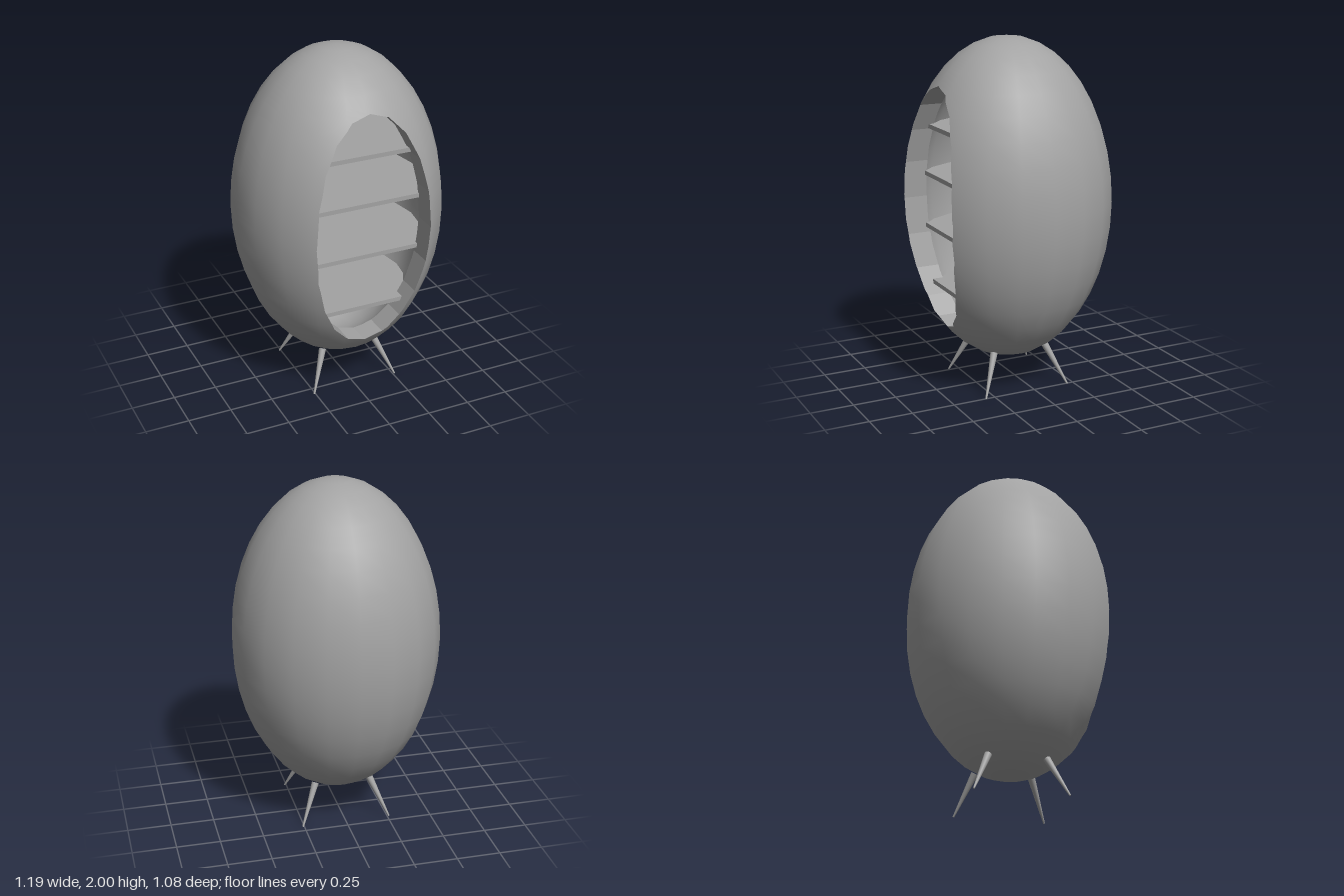
import * as THREE from 'three';

const CY = 1.08, CZ = 0.05, SEG = 20;           // egg centre and facet count
const OUTER = { r: 0.595, h: 0.92 }, INNER = { r: 0.495, h: 0.82 };
const HOLE = { x: 0.34, y: 0.6875, cy: -0.0225 }; // oval opening, relative to egg centre

// Corners of the oval opening, counter-clockwise
const rim = Array.from({ length: SEG }, (_, i) => {
  const a = (i / SEG) * Math.PI * 2;
  return new THREE.Vector2(HOLE.x * Math.cos(a), HOLE.cy + HOLE.y * Math.sin(a));
});

// Signed distance from rim edge k, positive towards the opening
function rimSide(p, k) {
  const a = rim[k], b = rim[(k + 1) % SEG];
  const dx = b.x - a.x, dy = b.y - a.y;
  return (dx * (p.y - a.y) - dy * (p.x - a.x)) / Math.hypot(dx, dy);
}

// Part of a polygon on one side of a rim edge
function clip(poly, k, sign) {
  const out = [];
  poly.forEach((p, i) => {
    const q = poly[(i + 1) % poly.length];
    const dp = sign * rimSide(p, k), dq = sign * rimSide(q, k);
    if (dp >= 0) out.push(p);
    if ((dp > 0 && dq < 0) || (dp < 0 && dq > 0)) out.push(p.clone().lerp(q, dp / (dp - dq)));
  });
  return out.length > 2 ? out : [];
}

// Faceted ellipsoid cut by the opening; returns kept polygons and the cut edges
function cutEgg({ r, h }) {
  const geo = new THREE.SphereGeometry(1, SEG, SEG).scale(r, h, r).toNonIndexed();
  const pos = geo.attributes.position, kept = [], edges = [];
  for (let i = 0; i < pos.count; i += 3) {
    let poly = [0, 1, 2].map(j => new THREE.Vector3().fromBufferAttribute(pos, i + j));
    if (poly[0].z + poly[1].z + poly[2].z <= 0) { kept.push(poly); continue; }
    const pieces = [], whole = poly;
    for (let k = 0; k < SEG && poly.length; k++) {
      const outside = clip(poly, k, -1);
      if (outside.length) pieces.push(outside);
      poly = clip(poly, k, 1);
    }
    if (!poly.length) { kept.push(whole); continue; }
    kept.push(...pieces);
    poly.forEach((a, n) => {
      const b = poly[(n + 1) % poly.length];
      const onRim = rim.some((_, k) => Math.abs(rimSide(a, k)) < 1e-6 && Math.abs(rimSide(b, k)) < 1e-6);
      if (onRim && a.distanceTo(b) > 1e-6) edges.push([a, b]);
    });
  }
  return { kept, edges };
}

// Triangle fans from polygons; smooth ellipsoid normals when a size is given
function polysToGeometry(polys, size, flip) {
  const pts = [], normals = [];
  for (const p of polys) {
    for (let i = 1; i < p.length - 1; i++) {
      const tri = flip ? [p[0], p[i + 1], p[i]] : [p[0], p[i], p[i + 1]];
      for (const v of tri) {
        pts.push(v.x, v.y, v.z);
        if (!size) continue;
        const n = new THREE.Vector3(v.x / size.r ** 2, v.y / size.h ** 2, v.z / size.r ** 2).normalize();
        if (flip) n.negate();
        normals.push(n.x, n.y, n.z);
      }
    }
  }
  const geo = new THREE.BufferGeometry();
  geo.setAttribute('position', new THREE.Float32BufferAttribute(pts, 3));
  if (size) geo.setAttribute('normal', new THREE.Float32BufferAttribute(normals, 3));
  else geo.computeVertexNormals();
  return geo;
}

export function createModel() {
  const model = new THREE.Group();
  const grey = new THREE.MeshStandardMaterial({ color: 0xa3a3a3 });
  grey.name = 'grey';
  const add = (name, geo, parent) => {
    const mesh = new THREE.Mesh(geo, grey);
    mesh.name = name;
    parent.add(mesh);
    return mesh;
  };

  // Hollow egg body
  const body = new THREE.Group();
  body.name = 'body';
  body.position.set(0, CY, CZ);
  model.add(body);
  const outer = cutEgg(OUTER);
  add('outerShell', polysToGeometry(outer.kept, OUTER, false), body);
  add('innerShell', polysToGeometry(cutEgg(INNER).kept, INNER, true), body);

  // Rim wall running straight back from the outer to the inner shell
  const back = p => {
    const z = INNER.r * Math.sqrt(1 - (p.y / INNER.h) ** 2 - (p.x / INNER.r) ** 2);
    return new THREE.Vector3(p.x, p.y, z - 0.012);
  };
  add('openingRim', polysToGeometry(outer.edges.map(([a, b]) => [a, b, back(b), back(a)])), body);

  // Round shelves with a straight front edge, let into the wall
  const front = 0.36, thick = 0.025;
  [0.558, 0.875, 1.183, 1.465].forEach((y, i) => {
    const r = 0.545 * Math.sqrt(1 - ((y + thick / 2 - CY) / 0.87) ** 2);
    const a = Math.asin(front / r);
    const shape = new THREE.Shape();
    shape.absarc(0, 0, r, -a, Math.PI + a, false);
    const geo = new THREE.ExtrudeGeometry(shape, { depth: thick, bevelEnabled: false, curveSegments: 20 });
    geo.rotateX(-Math.PI / 2);
    add('shelf' + (i + 1), geo, body).position.y = y - CY;
  });

  // Four splayed, tapered legs
  for (const sx of [-1, 1]) {
    for (const sz of [-1, 1]) {
      const top = new THREE.Vector3(sx * 0.162, 0.23, CZ + sz * 0.162);
      const tip = new THREE.Vector3(sx * 0.259, 0.003, CZ + sz * 0.259);
      const axis = top.clone().sub(tip);
      const name = (sz > 0 ? 'front' : 'back') + (sx > 0 ? 'Left' : 'Right') + 'Leg';
      const leg = add(name, new THREE.CylinderGeometry(0.021, 0.005, axis.length(), 16), model);
      leg.position.copy(top).add(tip).multiplyScalar(0.5);
      leg.quaternion.setFromUnitVectors(new THREE.Vector3(0, 1, 0), axis.normalize());
    }
  }
  return model;
}
